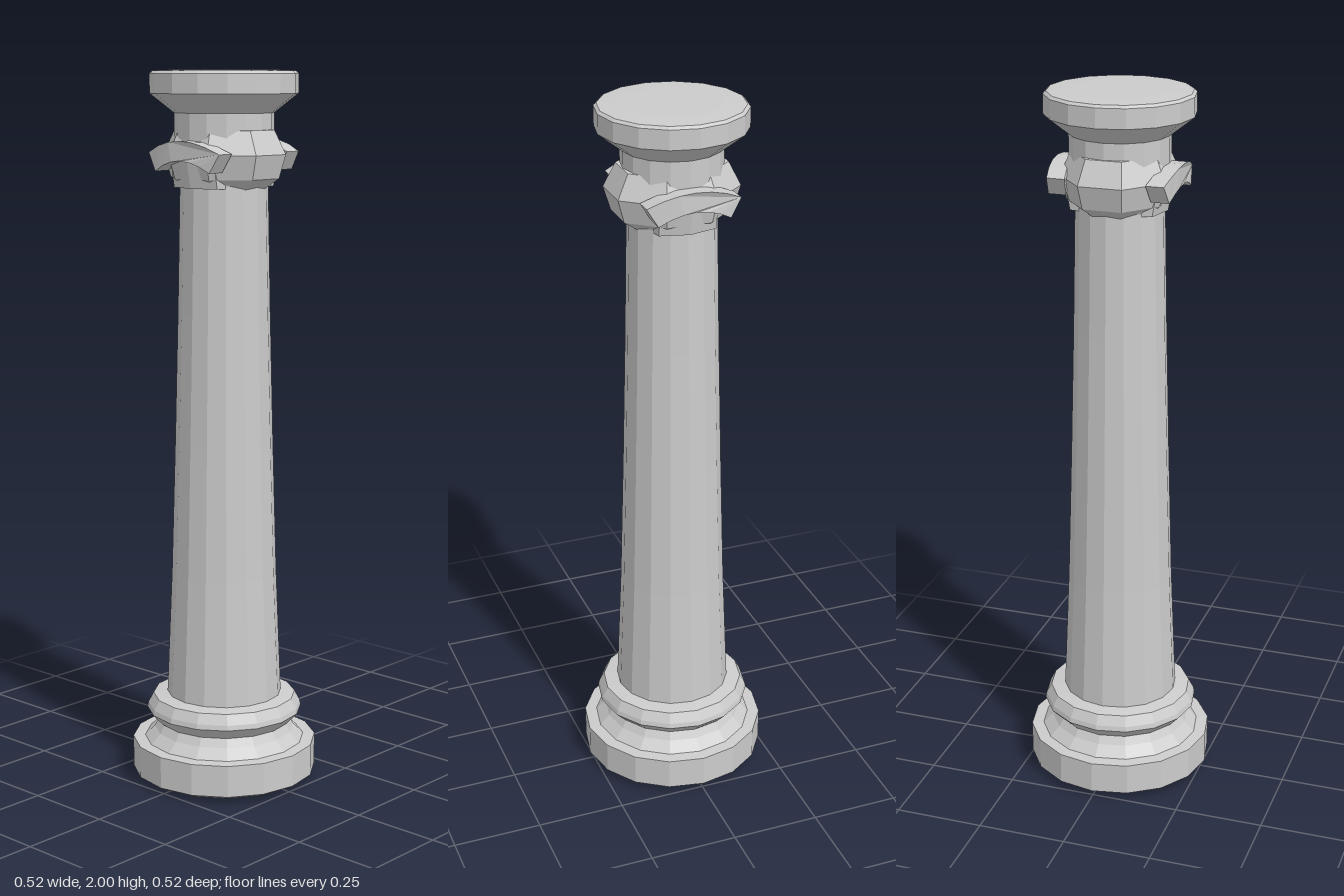
import * as THREE from 'three';

const grey = new THREE.MeshStandardMaterial({ color: 0xcccccc, flatShading: true });

function addMesh(parent, name, geometry) {
  const mesh = new THREE.Mesh(geometry, grey);
  mesh.name = name;
  parent.add(mesh);
  return mesh;
}

// Faceted turned part; the profile runs upwards as [radius, y]
function turned(profile, sides = 16, phase = 0) {
  return new THREE.LatheGeometry(profile.map(([r, y]) => new THREE.Vector2(r, y)), sides, phase);
}

// Arched plate, bowed backwards towards its two ends
function archedPlate() {
  const n = 6, top = [], bottom = [];
  for (let i = 0; i <= n; i++) {
    const t = (i / n) * 2 - 1;
    top.push(new THREE.Vector2(0.13 * t, 1.813 - 0.033 * t * t));
    bottom.push(new THREE.Vector2(0.1 * t, 1.76 - 0.03 * t * t));
  }
  const shape = new THREE.Shape([...bottom, ...top.reverse()]);
  const geometry = new THREE.ExtrudeGeometry(shape, { depth: 0.05, bevelEnabled: false });
  const pos = geometry.attributes.position;
  for (let i = 0; i < pos.count; i++) {
    const x = pos.getX(i);
    pos.setZ(i, pos.getZ(i) + 0.126 - 0.9 * x * x);
  }
  geometry.computeVertexNormals();
  return geometry;
}

export function createModel() {
  const column = new THREE.Group();
  column.name = 'column';

  // Round plinth with the flared moulding above it
  addMesh(column, 'base', turned([
    [0, 0], [0.17, 0], [0.24, 0.008], [0.262, 0.02], [0.262, 0.11],
    [0.228, 0.112], [0.2, 0.14], [0.184, 0.168], [0, 0.168],
  ]));

  // Bulging ring at the foot of the shaft
  addMesh(column, 'baseRing', turned([
    [0, 0.165], [0.19, 0.165], [0.203, 0.178], [0.221, 0.198],
    [0.218, 0.212], [0.203, 0.24], [0.16, 0.246], [0, 0.246],
  ]));

  // Tapering shaft
  addMesh(column, 'shaft', turned([
    [0.163, 0.24], [0.148, 0.6], [0.137, 0.98], [0.128, 1.34], [0.121, 1.7],
  ]));

  // Neck flaring out to the flat cap
  addMesh(column, 'cap', turned([
    [0.12, 1.69], [0.137, 1.72], [0.137, 1.885], [0.203, 1.937],
    [0.203, 1.99], [0.195, 1.997], [0.135, 2], [0, 2],
  ]));

  // Eight-sided collar, wider from side to side than from front to back
  const collar = addMesh(column, 'collar', turned([
    [0.12, 1.68], [0.165, 1.71], [0.185, 1.775], [0.151, 1.84], [0.12, 1.842],
  ], 8, Math.PI / 8));
  collar.scale.z = 0.85;

  // Arched plate and the tongue below it, on the front and the back
  for (const [name, angle] of [['frontOrnament', 0], ['backOrnament', Math.PI]]) {
    const ornament = new THREE.Group();
    ornament.name = name;
    ornament.rotation.y = angle;
    addMesh(ornament, 'archedPlate', archedPlate());
    const tongue = new THREE.Shape([
      new THREE.Vector2(-0.085, 0.1), new THREE.Vector2(0.085, 0.1),
      new THREE.Vector2(0.08, 0.128), new THREE.Vector2(0, 0.148), new THREE.Vector2(-0.08, 0.128),
    ]);
    const geometry = new THREE.ExtrudeGeometry(tongue, { depth: 0.075, bevelEnabled: false });
    geometry.rotateX(Math.PI / 2).translate(0, 1.76, 0);
    // Draw the lower edge in towards the shaft
    const pos = geometry.attributes.position;
    for (let i = 0; i < pos.count; i++) {
      if (pos.getY(i) < 1.7) pos.setZ(i, pos.getZ(i) - 0.014);
    }
    geometry.computeVertexNormals();
    addMesh(ornament, 'tongue', geometry);
    column.add(ornament);
  }

  return column;
}
